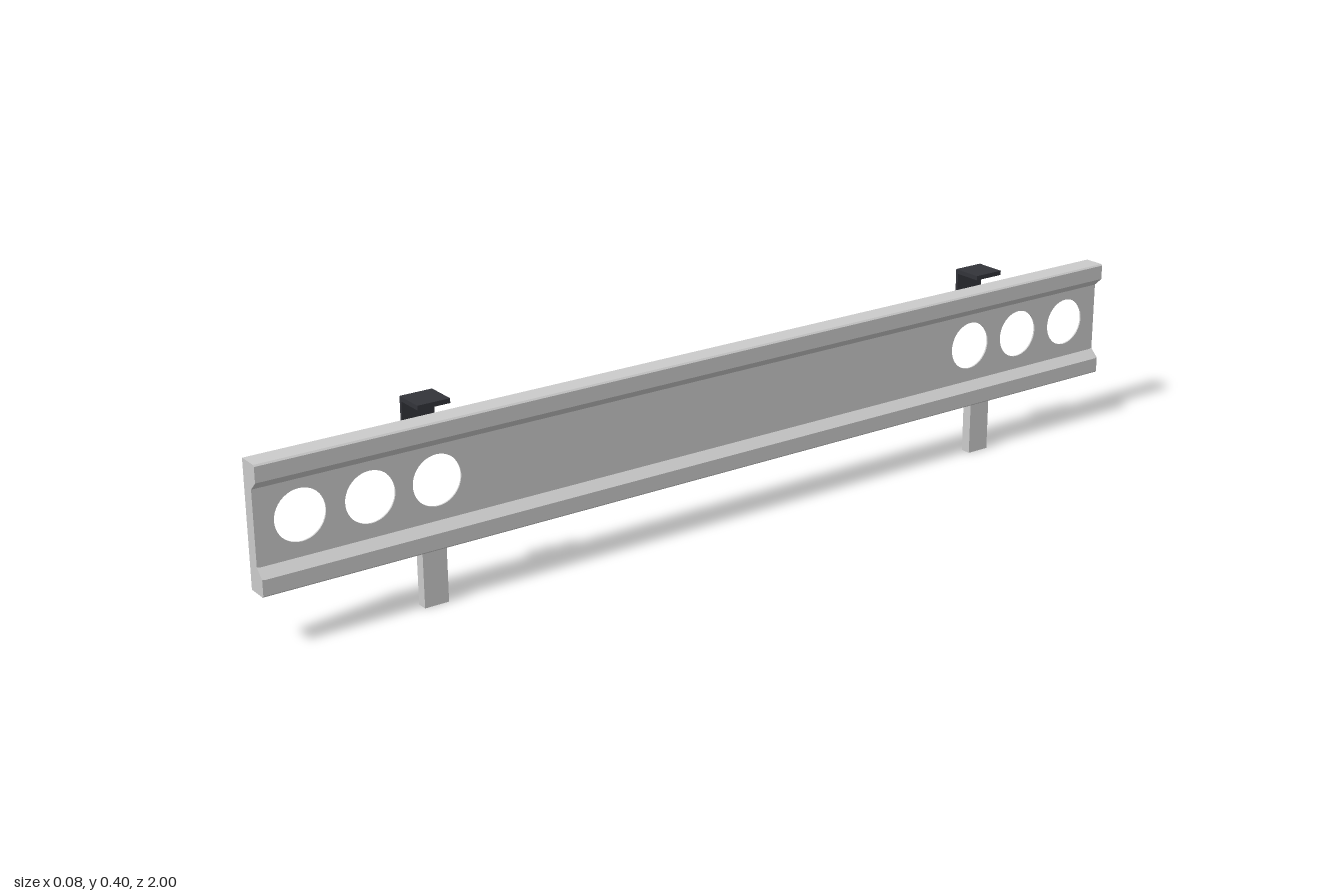
import * as THREE from 'three';

const grey = new THREE.MeshStandardMaterial({ color: 0xcccccc, side: THREE.DoubleSide });
const dark = new THREE.MeshStandardMaterial({ color: 0x33343a });

const shapeOf = (pts) => new THREE.Shape(pts.map(([x, y]) => new THREE.Vector2(x, y)));

// Rounded slot outline, used as a hole
function slot(cx, cy, length, height) {
  const r = height / 2, h = length / 2 - r;
  const p = new THREE.Path();
  p.moveTo(cx - h, cy - r);
  p.lineTo(cx + h, cy - r);
  p.absarc(cx + h, cy, r, -Math.PI / 2, Math.PI / 2, false);
  p.lineTo(cx - h, cy + r);
  p.absarc(cx - h, cy, r, Math.PI / 2, Math.PI * 1.5, false);
  return p;
}

export function createModel() {
  const model = new THREE.Group();
  model.name = 'mountingRail';

  function add(name, geometry, material = grey, parent = model) {
    const mesh = new THREE.Mesh(geometry, material);
    mesh.name = name;
    parent.add(mesh);
    return mesh;
  }

  // Cross-section drawn in x, y and swept along z
  const sweep = (shape, z0, z1) =>
    new THREE.ExtrudeGeometry(shape, { depth: z1 - z0, bevelEnabled: false }).translate(0, 0, z0);

  // Upright plate in the z, y plane, with holes
  function plate(x0, x1, y0, y1, holes) {
    const s = shapeOf([[-1, y0], [1, y0], [1, y1], [-1, y1]]);
    s.holes.push(...holes);
    return new THREE.ExtrudeGeometry(s, { depth: x1 - x0, bevelEnabled: false, curveSegments: 20 })
      .rotateY(Math.PI / 2).translate(x0, 0, 0);
  }

  const mid = 0.23, t = 0.003;

  // Web with three round holes near each end
  const holes = [];
  for (const s of [-1, 1]) for (const z of [0.64, 0.775, 0.912]) {
    holes.push(new THREE.Path().absarc(s * z, 0.235, 0.05, 0, Math.PI * 2, false));
  }
  add('web', plate(0.007 - t, 0.007, 0.157, 0.306, holes));

  // Folded flanges: slope, nose and outer face, mirrored about the middle height
  const flange = [
    [0.007, 0.073], [0.025, 0.09], [0.025, 0.12], [0.022, 0.123], [-0.02, 0.123],
    [-0.02, 0.12], [0.021, 0.12], [0.022, 0.119], [0.022, 0.0915], [0.004, 0.0745],
  ];
  for (const s of [1, -1]) {
    const side = s > 0 ? 'upper' : 'lower';
    add(side + 'Flange', sweep(shapeOf(flange.map(([x, y]) => [x, mid + s * y])), -1, 1));

    // Return lip along the open back, with long slots
    const slots = (s > 0 ? [-0.31, 0.31] : [-0.72, -0.24, 0.24, 0.72])
      .map((z) => slot(z, mid + s * 0.11, 0.23, 0.009));
    const y = [mid + s * 0.095, mid + s * 0.123].sort((a, b) => a - b);
    add(side + 'Lip', plate(-0.02, -0.02 + t, y[0], y[1], slots));
  }

  // End caps close the section
  const cap = shapeOf([
    [-0.017, 0.107], [0.022, 0.107], [0.025, 0.11], [0.025, 0.141], [0.007, 0.158],
    [0.007, 0.303], [0.025, 0.32], [0.025, 0.35], [0.022, 0.353], [-0.017, 0.353],
    [-0.02, 0.35], [-0.02, 0.11],
  ]);
  for (const s of [-1, 1]) {
    add('endCap', sweep(cap, s > 0 ? 0.996 : -1, s > 0 ? 1 : -0.996));

    // Hanging bracket folded over the top
    const bracket = new THREE.Group();
    bracket.name = 'bracket';
    bracket.position.z = s * 0.657;
    model.add(bracket);
    const angle = shapeOf([
      [-0.026, 0.31], [-0.02, 0.31], [-0.02, 0.388], [0.038, 0.388], [0.038, 0.397], [-0.026, 0.397],
    ]);
    add('bracketAngle', sweep(angle, -0.033, 0.033), dark, bracket);

    // Two bolts, each with washer, hex nut and stud
    for (const z of [-0.015, 0.015]) {
      const rod = (name, r, x0, x1, sides) =>
        add(name, new THREE.CylinderGeometry(r, r, x1 - x0, sides).rotateZ(Math.PI / 2)
          .translate((x0 + x1) / 2, 0.34, z), grey, bracket);
      rod('washer', 0.01, -0.029, -0.026, 20);
      rod('nut', 0.008, -0.037, -0.029, 6);
      rod('stud', 0.0045, -0.041, -0.015, 12);
    }

    // Rectangular tube leg
    const tube = shapeOf([[0, -0.025], [0.022, -0.025], [0.022, 0.025], [0, 0.025]]);
    tube.holes.push(new THREE.Path([[0.002, -0.023], [0.002, 0.023], [0.02, 0.023], [0.02, -0.023]]
      .map(([x, z]) => new THREE.Vector2(x, z))));
    add('leg', sweep(tube, 0, 0.109).rotateX(-Math.PI / 2)).position.z = s * 0.66;
  }
  return model;
}
